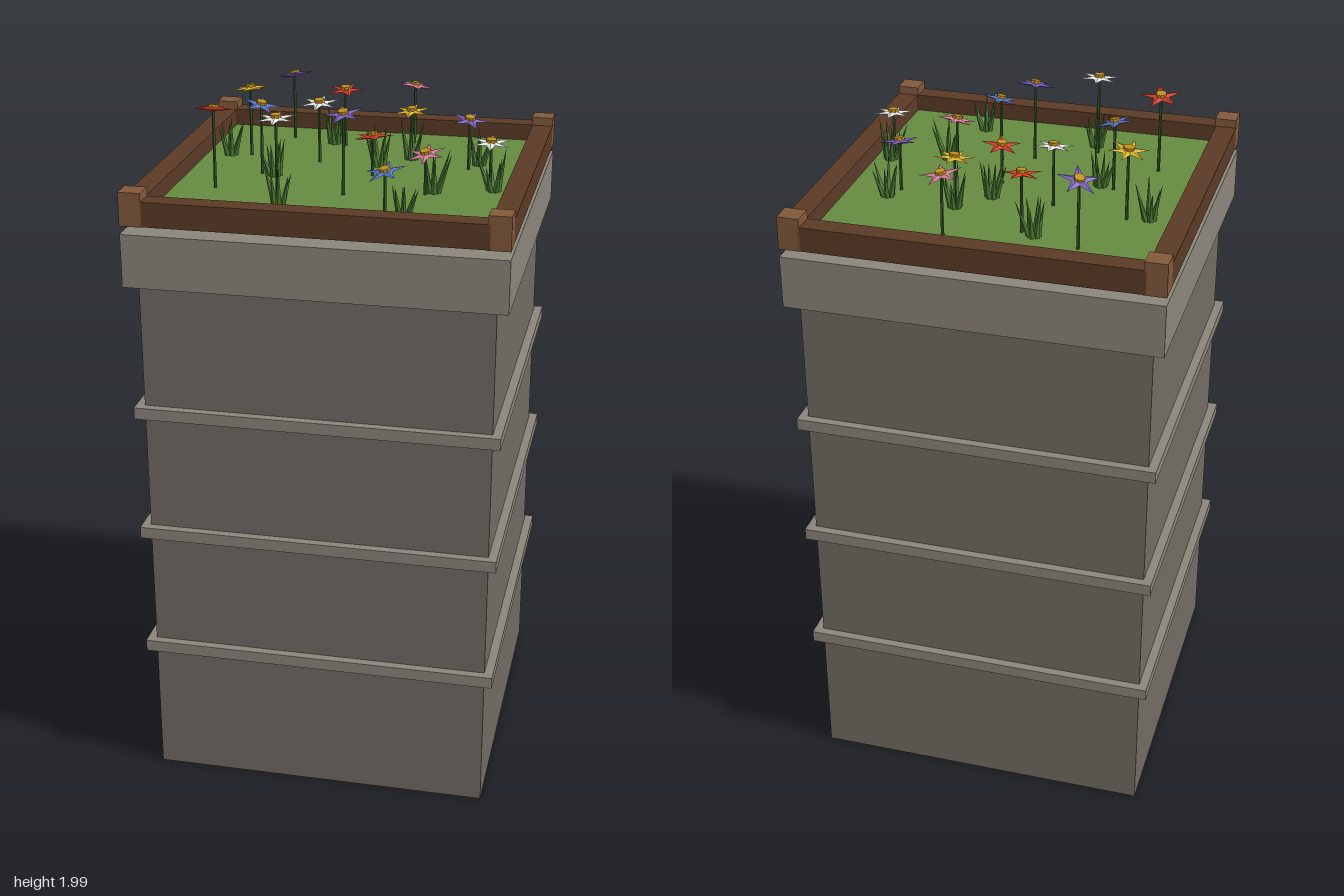
import * as THREE from 'three';

const mat = (color) => new THREE.MeshStandardMaterial({ color, flatShading: true });

export function createModel() {
  const root = new THREE.Group();
  const M = {
    stone: mat(0x706a62), trim: mat(0x8a857b), rail: mat(0x5a3a26), post: mat(0x80593a),
    lawn: mat(0x64893f), stem: mat(0x35562a), blade: mat(0x47752f), centre: mat(0xc0901e),
    purple: mat(0x7a5fc0), pink: mat(0xd9809a), red: mat(0xd83a26), yellow: mat(0xdcb42c),
    white: mat(0xe8e8e4), blue: mat(0x5578d0),
  };
  const add = (parent, name, geo, m, x = 0, y = 0, z = 0) => {
    const mesh = new THREE.Mesh(geo, m);
    mesh.name = name;
    mesh.position.set(x, y, z);
    parent.add(mesh);
    return mesh;
  };
  const box = (name, w, y0, y1, d, m, x = 0, z = 0) =>
    add(root, name, new THREE.BoxGeometry(w, y1 - y0, d), m, x, (y0 + y1) / 2, z);

  // Tower with raised bands and a wider cap
  box('tower', 0.98, 0, 1.55, 0.98, M.stone);
  for (const y of [0.42, 0.797, 1.173]) box('band', 1.03, y - 0.017, y + 0.017, 1.03, M.trim);
  box('cap', 1.05, 1.55, 1.7, 1.05, M.trim);

  // Planter frame floating just above the cap
  const ground = 1.745;
  box('lawn', 0.95, 1.725, ground, 0.95, M.lawn);
  for (const s of [-1, 1]) {
    box('frontBackRail', 0.94, 1.724, 1.793, 0.06, M.rail, 0, s * 0.495);
    box('sideRail', 0.06, 1.724, 1.793, 0.94, M.rail, s * 0.495, 0);
    for (const t of [-1, 1])
      box('cornerPost', 0.062, 1.723, 1.817, 0.062, M.post, s * 0.494, t * 0.494);
  }

  let seed = 7;
  const rnd = () => (seed = (seed * 16807) % 2147483647) / 2147483647;

  // Petal: flattened four-sided cone pointing outward along x
  const petalGeo = new THREE.ConeGeometry(0.0165, 0.056, 4);
  petalGeo.rotateZ(-Math.PI / 2);
  petalGeo.scale(1, 0.4, 1);
  petalGeo.translate(0.033, 0, 0);
  const centreGeo = new THREE.CylinderGeometry(0.015, 0.015, 0.012, 8);

  // Flowers: colour, x, height of the head, z, petals, angle of one petal in degrees
  const flowers = [
    ['purple', -0.25, 1.94, -0.354, 5, 0], ['pink', 0.118, 1.92, -0.37, 5, -74],
    ['red', -0.08, 1.915, -0.295, 5, -5], ['yellow', -0.332, 1.945, -0.14, 6, -85],
    ['white', -0.118, 1.92, -0.107, 6, -88], ['yellow', 0.14, 1.89, -0.185, 6, -85],
    ['purple', 0.32, 1.89, -0.118, 5, -82], ['red', 0.06, 1.86, 0, 5, -73],
    ['blue', -0.253, 1.945, 0.042, 5, -98], ['white', 0.41, 1.885, 0.09, 6, -93],
    ['pink', 0.238, 1.86, 0.149, 6, -90], ['red', -0.348, 1.97, 0.202, 5, 0],
    ['purple', 0.017, 1.972, 0.197, 5, -108], ['white', -0.149, 1.975, 0.287, 6, -93],
    ['blue', 0.16, 1.86, 0.337, 5, -90],
  ];
  for (const [color, x, y, z, count, deg] of flowers) {
    const flower = new THREE.Group();
    flower.name = 'flower';
    flower.position.set(x, ground, z);
    root.add(flower);
    const h = y - ground;
    add(flower, 'stem', new THREE.CylinderGeometry(0.004, 0.005, h, 5), M.stem, 0, h / 2, 0);
    const head = new THREE.Group();
    head.name = 'flowerHead';
    head.position.y = h;
    head.rotation.set((rnd() - 0.5) * 0.5, 0, (rnd() - 0.5) * 0.5);
    flower.add(head);
    for (let i = 0; i < count; i++) {
      const petal = add(head, 'petal', petalGeo, M[color]);
      petal.rotation.y = -THREE.MathUtils.degToRad(deg) - (i / count) * Math.PI * 2;
    }
    add(head, 'flowerCentre', centreGeo, M.centre, 0, 0.006, 0);
  }

  // Grass tufts: thin cones leaning outward
  const bladeGeo = new THREE.ConeGeometry(0.009, 1, 4);
  bladeGeo.translate(0, 0.5, 0);
  const tufts = [
    [-0.393, -0.129], [-0.118, -0.312], [0.343, -0.168], [0.06, -0.1], [-0.213, 0.056],
    [0.258, 0.127], [-0.135, 0.331], [0.216, 0.368], [0.42, 0.08], [0.14, -0.19],
  ];
  for (const [x, z] of tufts) {
    const tuft = new THREE.Group();
    tuft.name = 'grassTuft';
    tuft.position.set(x, ground, z);
    root.add(tuft);
    const turn = rnd() * 6;
    for (let i = 0; i < 6; i++) {
      const a = turn + (i / 6) * Math.PI * 2;
      const blade = add(tuft, 'grassBlade', bladeGeo, M.blade,
        Math.cos(a) * 0.012, 0, Math.sin(a) * 0.012);
      blade.scale.y = 0.08 + rnd() * 0.05;
      const lean = 0.12 + rnd() * 0.25;
      blade.rotation.set(Math.sin(a) * lean, 0, -Math.cos(a) * lean);
    }
  }
  return root;
}
